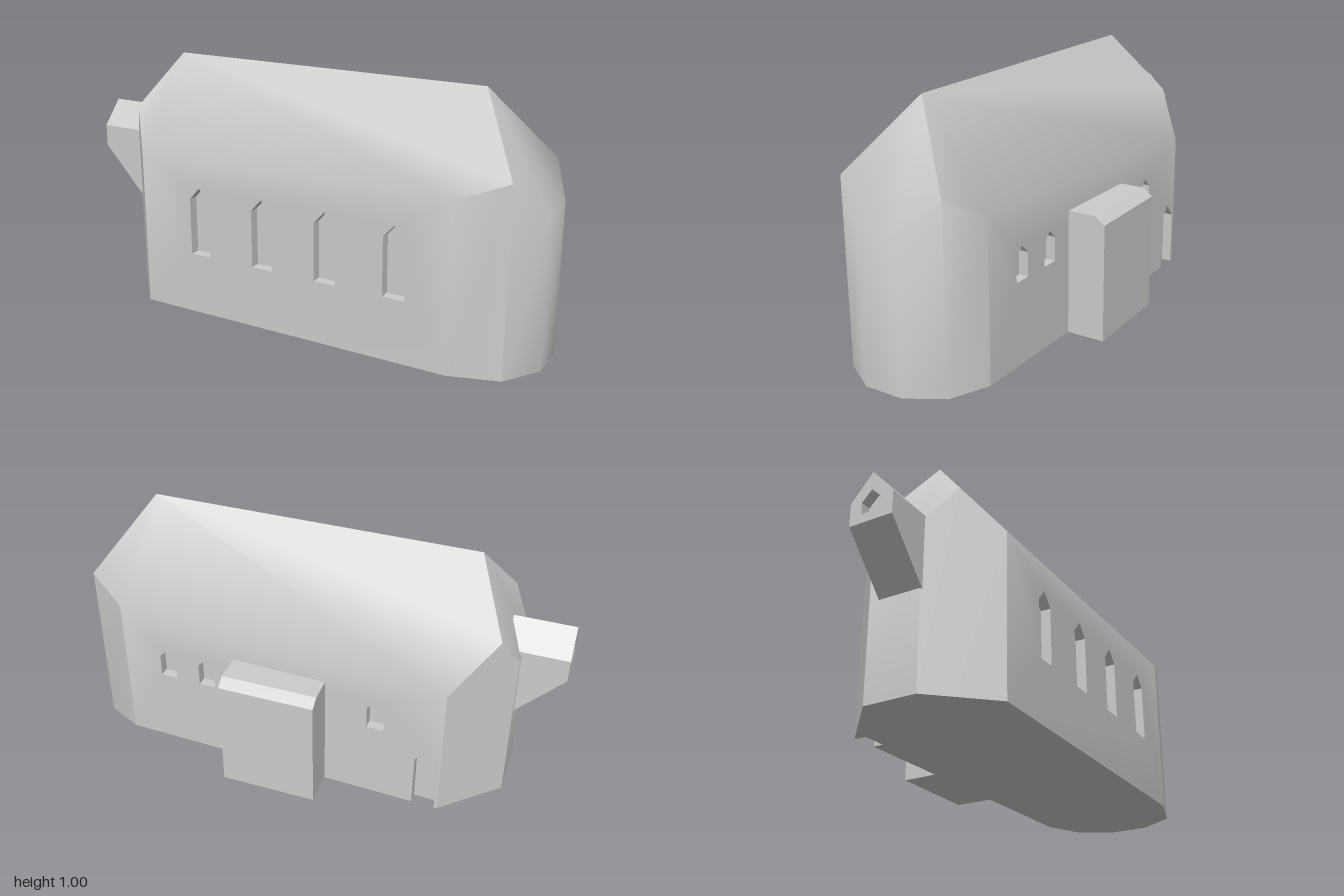
import * as THREE from 'three';
import { mergeGeometries, toCreasedNormals } from 'three/addons/utils/BufferGeometryUtils.js';

const stone = new THREE.MeshStandardMaterial({ color: 0xcccccc });
stone.name = 'pale stone';
const RECESS = 0.04;

// Footprint corners [x, z], starting at the front left hip and running along the front
const plan = [
  [-0.735, 0.251], [-0.62, 0.375], [0.72, 0.362], [0.91, 0.3], [1, 0.16], [1, 0],
  [0.92, -0.14], [0.77, -0.21], [-0.6, -0.255], [-0.755, -0.11], [-0.82, -0.05], [-0.82, 0.16],
];
const ridgeL = [-0.62, 1, 0.085], ridgeR = [0.72, 1, 0.085];

// Height of the hipped roof above any point
const roofY = (x, z) => Math.min(
  1 - (z - 0.085) * 1.245, 1 + (z - 0.085) * 1.265,
  1 + (x + 0.62) * 1.8, 1 - (x - 0.72) * 1.43);

// Flat polygon from 3D corners, as a triangle fan
function fan(points) {
  const pos = [];
  for (let i = 1; i < points.length - 1; i++) pos.push(...points[0], ...points[i], ...points[i + 1]);
  const g = new THREE.BufferGeometry();
  g.setAttribute('position', new THREE.Float32BufferAttribute(pos, 3));
  g.computeVertexNormals();
  return g;
}

function flatShape(points, holes = []) {
  const s = new THREE.Shape(points.map(p => new THREE.Vector2(...p)));
  for (const h of holes) s.holes.push(new THREE.Path(h.map(p => new THREE.Vector2(...p))));
  const g = new THREE.ShapeGeometry(s).toNonIndexed();
  g.deleteAttribute('uv');
  return g;
}

// Pointed opening, counter-clockwise from the lower left
const opening = (c, w, y0, y1, y2) =>
  [[c - w / 2, y0], [c + w / 2, y0], [c + w / 2, y1], [c, y2], [c - w / 2, y1]];

// Band running back from an outline; inward for a recess, outward for a solid
function band(loop, depth, inward, skipFirst = false) {
  const quads = [];
  loop.forEach((a, i) => {
    if (skipFirst && i === 0) return;
    const b = loop[(i + 1) % loop.length];
    const q = [[...a, 0], [...b, 0], [...b, -depth], [...a, -depth]];
    quads.push(fan(inward ? q : q.reverse()));
  });
  return mergeGeometries(quads);
}

const recess = (loop, skipFirst) => mergeGeometries(
  [band(loop, RECESS, true, skipFirst), flatShape(loop).translate(0, 0, -RECESS)]);

// Frame of an upright plane from plan point a to b, facing outward
function frame(a, b) {
  const u = new THREE.Vector3(b[0] - a[0], 0, b[1] - a[1]).normalize();
  const y = new THREE.Vector3(0, 1, 0);
  return new THREE.Matrix4().makeBasis(u, y, u.clone().cross(y)).setPosition(a[0], 0, a[1]);
}

export function createModel() {
  const group = new THREE.Group();
  const add = (name, geometry) => {
    const m = new THREE.Mesh(geometry, stone);
    m.name = name;
    group.add(m);
  };

  // Openings in the long walls, measured along each wall
  const frontWindows = [-0.345, -0.055, 0.222, 0.508].map(x => opening(x + 0.62, 0.09, 0.25, 0.48, 0.53));
  const backWindows = [0.572, 0.397, -0.328].map(x => opening(0.77 - x, 0.07, 0.33, 0.425, 0.46));
  const door = opening(0.77 + 0.542, 0.094, 0, 0.225, 0.28);

  // Walls: rounded ones blend into the roof, the slanted left corners stay flat
  const shell = [], corners = [];
  plan.forEach((a, i) => {
    const b = plan[(i + 1) % plan.length];
    const w = Math.hypot(b[0] - a[0], b[1] - a[1]);
    const outline = [[0, 0], [w, 0], [w, roofY(...b)], [0, roofY(...a)]];
    if (i === 7) outline.splice(1, 0, door[0], door[4], door[3], door[2], door[1]);
    const holes = i === 1 ? frontWindows : i === 7 ? backWindows : [];
    const target = [0, 8, 9, 11].includes(i) ? corners : shell;
    target.push(flatShape(outline, holes).applyMatrix4(frame(a, b)));
  });

  // Hipped roof slopes
  const eave = i => [plan[i][0], roofY(...plan[i]), plan[i][1]];
  shell.push(
    fan([ridgeL, ...[0, 1, 2, 3].map(eave), ridgeR]),
    fan([ridgeR, ...[3, 4, 5, 6].map(eave)]),
    fan([ridgeR, ...[6, 7, 8, 9].map(eave), ridgeL]),
    fan([ridgeL, ...[9, 10, 11, 0].map(eave)]));
  add('wallsAndRoof', toCreasedNormals(mergeGeometries(shell), THREE.MathUtils.degToRad(50)));
  add('slantedCorners', mergeGeometries(corners));

  // Window niches and doorway
  const frontFrame = frame(plan[1], plan[2]), backFrame = frame(plan[7], plan[8]);
  for (const w of frontWindows) add('frontWindow', recess(w).applyMatrix4(frontFrame));
  for (const w of backWindows) add('backWindow', recess(w).applyMatrix4(backFrame));
  add('doorway', recess(door, true).applyMatrix4(backFrame));

  // Underside, notched at the doorway
  const notch = [[0, 0], [0, 1], [1, 1], [1, 0]].map(([k, d]) => {
    const p = new THREE.Vector3(door[k][0], 0, -RECESS * d).applyMatrix4(backFrame);
    return [p.x, p.z];
  });
  add('floor', flatShape([...plan.slice(0, 8), ...notch, ...plan.slice(8)]).rotateX(Math.PI / 2));

  // Annex on the back wall with a bevelled top edge
  const annex = new THREE.Shape(
    [[0.15, 0], [0.38, 0], [0.38, 0.47], [0.34, 0.5], [0.15, 0.5]].map(p => new THREE.Vector2(...p)));
  add('annex', new THREE.ExtrudeGeometry(annex, { depth: 0.39, bevelEnabled: false })
    .rotateY(Math.PI / 2).translate(-0.12, 0, 0));

  // Gabled bay on the left end, with its window
  const bayFrame = frame([-1, -0.01], [-1, 0.165]);
  const bay = opening(0.0875, 0.175, 0.57, 0.66, 0.76);
  const bayWindow = opening(0.0875, 0.08, 0.605, 0.65, 0.69);
  add('bay', mergeGeometries([flatShape(bay, [bayWindow]), band(bay, 0.24, false)]).applyMatrix4(bayFrame));
  add('bayWindow', recess(bayWindow).applyMatrix4(bayFrame));

  // Wedge bracket carrying the bay
  const wedge = new THREE.Shape(
    [[-1, 0.57], [-0.8, 0.358], [-0.8, 0.57]].map(p => new THREE.Vector2(...p)));
  add('bayBracket', new THREE.ExtrudeGeometry(wedge, { depth: 0.175, bevelEnabled: false })
    .translate(0, 0, -0.01));

  return group;
}
